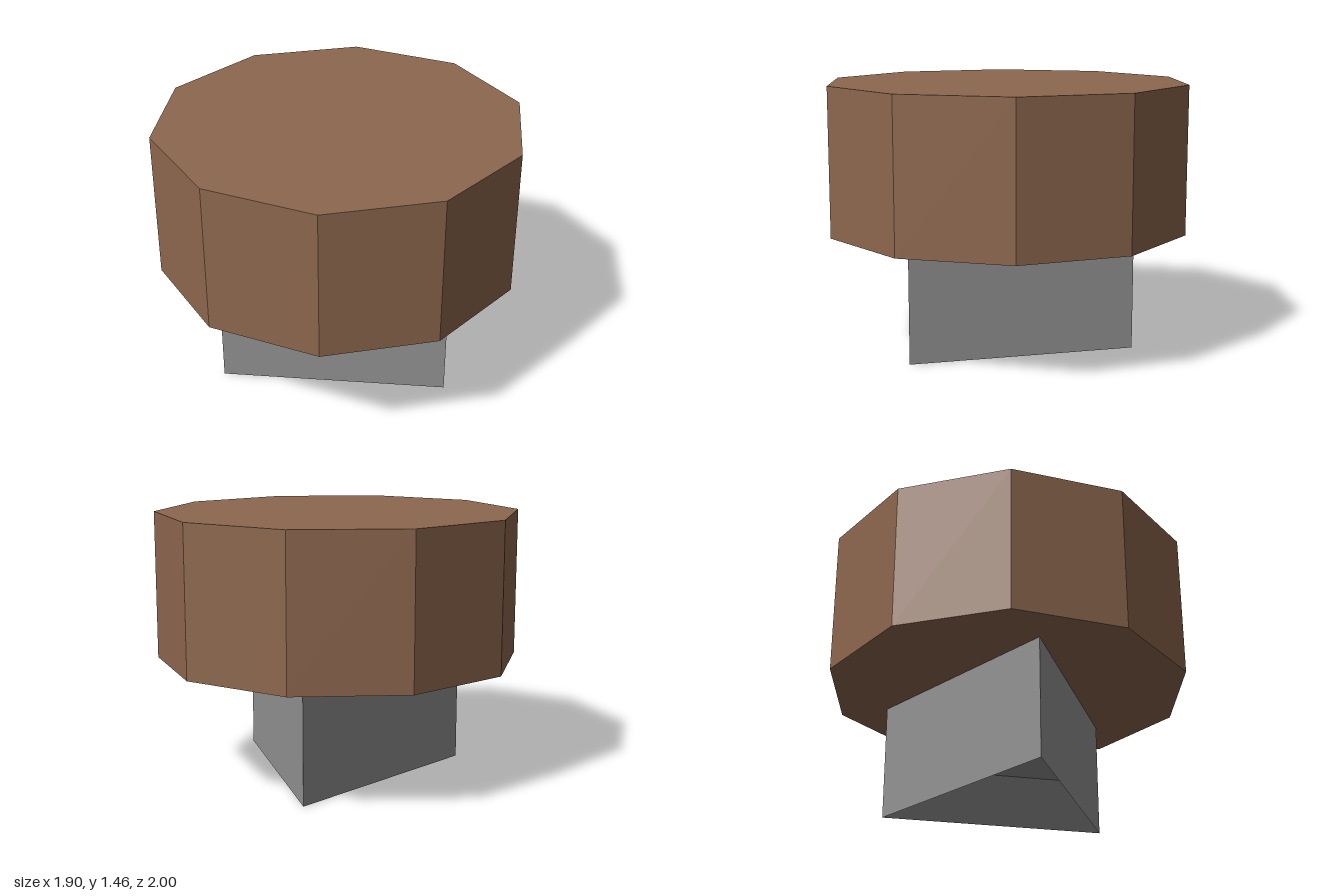
import * as THREE from 'three';

export function createModel() {
  const model = new THREE.Group();
  const brown = new THREE.MeshStandardMaterial({ color: 0x8d674e, flatShading: true });
  const grey = new THREE.MeshStandardMaterial({ color: 0x929292, flatShading: true });

  // Ten-sided top block, with corners at the front and back
  const top = new THREE.Mesh(new THREE.CylinderGeometry(1, 1, 0.81, 10), brown);
  top.name = 'topBlock';
  top.position.y = 1.055;
  model.add(top);

  // Three-sided foot, flat face forward, with a tapered recess underneath
  const profile = [[0, 0.25], [0.45, 0.25], [0.72, 0], [0.72, 0.65], [0, 0.65]]
    .map(([r, y]) => new THREE.Vector2(r, y));
  const foot = new THREE.Mesh(new THREE.LatheGeometry(profile, 3, Math.PI), grey);
  foot.name = 'foot';
  model.add(foot);

  return model;
}
